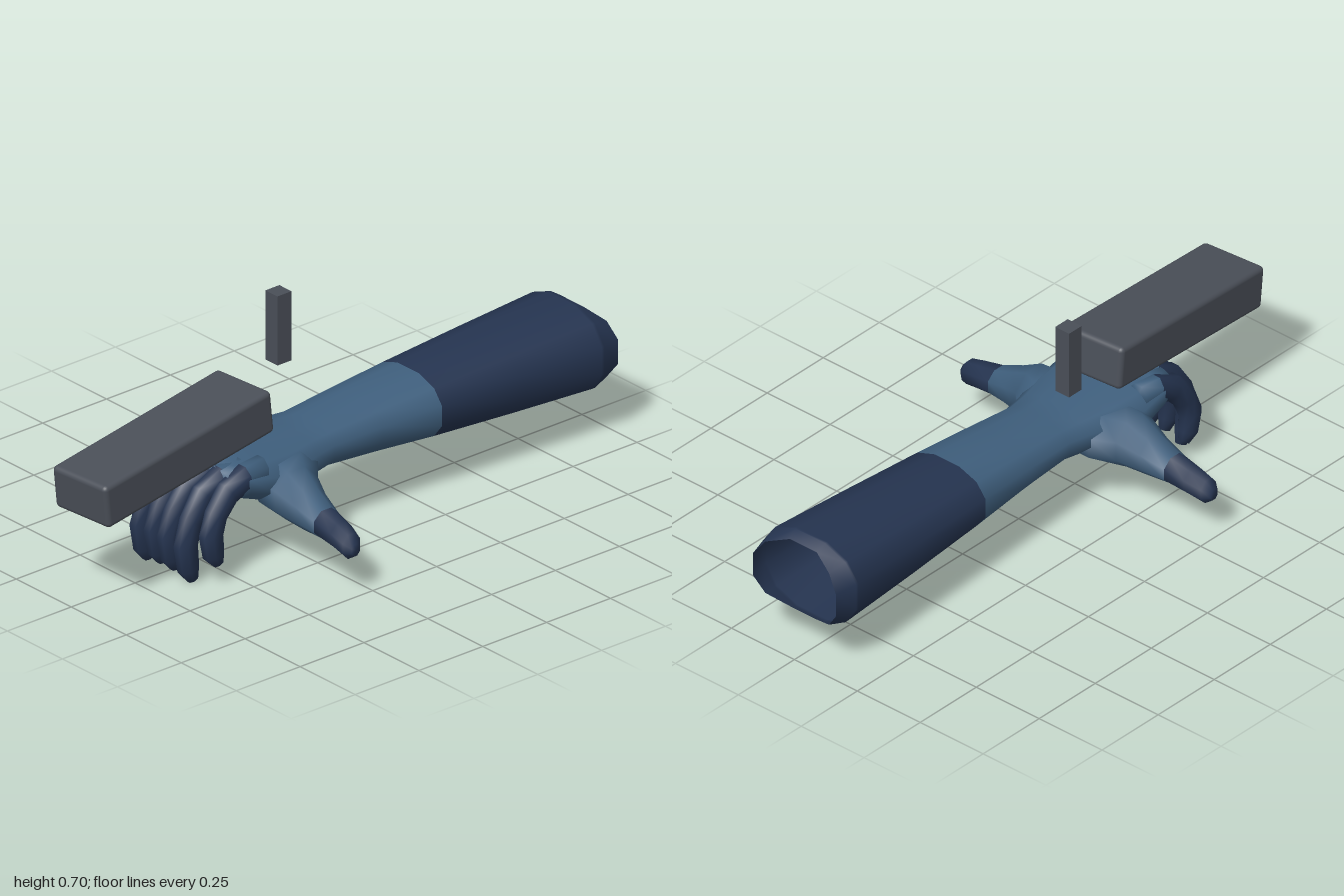
import * as THREE from 'three';
import { RoundedBoxGeometry } from 'three/addons/geometries/RoundedBoxGeometry.js';

const material = (color) => new THREE.MeshStandardMaterial({ color, side: THREE.DoubleSide });
const V = (x, y, z) => new THREE.Vector3(x, y, z);

// Skin over rings { c, u, v }; u x v points along the direction of travel.
function loft(rings, sides, capStart, capEnd, squareness = 1) {
  const pos = [], idx = [];
  const bend = (t) => Math.sign(t) * Math.abs(t) ** squareness;
  for (const { c, u, v } of rings) {
    for (let i = 0; i < sides; i++) {
      const a = ((i + 0.5) / sides) * Math.PI * 2;
      const p = c.clone().addScaledVector(u, bend(Math.cos(a))).addScaledVector(v, bend(Math.sin(a)));
      pos.push(p.x, p.y, p.z);
    }
  }
  for (let r = 0; r < rings.length - 1; r++) {
    for (let i = 0; i < sides; i++) {
      const a = r * sides + i, b = r * sides + ((i + 1) % sides);
      idx.push(a, b, b + sides, a, b + sides, a + sides);
    }
  }
  const cap = (r, flip) => {
    const centre = pos.length / 3;
    pos.push(...rings[r].c.toArray());
    for (let i = 0; i < sides; i++) {
      const a = r * sides + i, b = r * sides + ((i + 1) % sides);
      idx.push(...(flip ? [centre, b, a] : [centre, a, b]));
    }
  };
  if (capStart) cap(0, true);
  if (capEnd) cap(rings.length - 1, false);
  const g = new THREE.BufferGeometry();
  g.setAttribute('position', new THREE.Float32BufferAttribute(pos, 3));
  g.setIndex(idx);
  g.computeVertexNormals();
  return g;
}

export function createModel() {
  const model = new THREE.Group();
  const navy = material(0x253450), blue = material(0x3f5f7d), grey = material(0x4a4f58);
  const add = (name, geometry, mat, parent = model) => {
    const mesh = new THREE.Mesh(geometry, mat);
    mesh.name = name;
    parent.add(mesh);
    return mesh;
  };

  // Forearm and palm sections: z, half width, bottom, top
  const armRing = ([z, w, y0, y1]) => ({
    c: V(0, (y0 + y1) / 2, z), u: V(w * 1.03, 0, 0), v: V(0, (y1 - y0) * 0.515, 0),
  });
  const sleeve = loft([
    [-1, 0.165, 0.15, 0.39], [-0.93, 0.183, 0.132, 0.41], [-0.92, 0.183, 0.132, 0.41],
    [-0.62, 0.169, 0.148, 0.392], [-0.32, 0.153, 0.167, 0.372],
  ].map(armRing), 12, false, false, 0.85);
  // Notch the open end towards the middle
  const sp = sleeve.attributes.position;
  for (let i = 0; i < 12; i++) sp.setZ(i, -1 + 0.06 * Math.max(0, 1 - Math.abs(sp.getX(i)) / 0.16));
  sleeve.computeVertexNormals();
  add('sleeve', sleeve, navy);
  add('wristAndPalm', loft([
    [-0.32, 0.153, 0.167, 0.372], [-0.1, 0.14, 0.187, 0.353], [0.08, 0.13, 0.2, 0.335],
    [0.16, 0.145, 0.192, 0.336], [0.25, 0.175, 0.17, 0.342], [0.36, 0.185, 0.185, 0.348],
    [0.45, 0.18, 0.222, 0.356], [0.51, 0.165, 0.255, 0.345],
  ].map(armRing), 12, false, true, 0.85), blue);

  // Thumbs: x, y, z, vertical radius, depth radius; the last three rings are the dark tip
  const thumb = [
    [0.06, 0.255, 0.24, 0.07, 0.12], [0.14, 0.238, 0.27, 0.085, 0.125], [0.2, 0.226, 0.292, 0.084, 0.09],
    [0.27, 0.205, 0.298, 0.067, 0.067], [0.35, 0.188, 0.303, 0.048, 0.052],
    [0.42, 0.175, 0.306, 0.044, 0.045], [0.475, 0.16, 0.312, 0.042, 0.036], [0.497, 0.155, 0.314, 0.02, 0.017],
  ];
  for (const s of [1, -1]) {
    const side = new THREE.Group();
    side.name = s > 0 ? 'leftDigits' : 'rightDigits';
    model.add(side);
    const rings = thumb.map(([x, y, z, ry, rz]) => {
      const up = V(0, ry, 0), out = V(0, 0, rz);
      return { c: V(s * x, y, z), u: s > 0 ? up : out, v: s > 0 ? out : up };
    });
    add('thumbBase', loft(rings.slice(0, 5), 8, false, false), blue, side);
    add('thumbTip', loft(rings.slice(4), 8, false, true), navy, side);

    // Curled fingers: base x, tip x, length factor, depth shift
    [[0.03, 0.03, 0.95, 0], [0.088, 0.1, 1, -0.005], [0.138, 0.157, 0.82, -0.055]].forEach(([xb, xt, k, dz], f) => {
      // y, z, radius from knuckle to fingertip
      const path = [
        [0.305, 0.43, 0.046], [0.302, 0.5, 0.045], [0.27, 0.57, 0.044], [0.2, 0.62, 0.04],
        [0.125, 0.643, 0.04], [0.05, 0.633, 0.036], [0.01, 0.615, 0.02],
      ];
      const pts = path.map(([y, z], i) => V(s * THREE.MathUtils.lerp(xb, xt, Math.min(1, i / 4)), 0.33 - (0.33 - y) * k, z + dz));
      const fr = pts.map((c, i) => {
        const t = pts[Math.min(i + 1, 6)].clone().sub(pts[Math.max(i - 1, 0)]).setX(0).normalize();
        const r = path[i][2];
        return { c, u: V(r * 0.85, 0, 0), v: t.cross(V(1, 0, 0)).multiplyScalar(r) };
      });
      const name = ['innerFinger', 'middleFinger', 'outerFinger'][f];
      add(name + 'Base', loft(fr.slice(0, 2), 8, true, false), blue, side);
      add(name, loft(fr.slice(1), 8, false, true), navy, side);
    });
  }

  // Long rounded block resting over the knuckles
  const block = add('roundedBlock', new RoundedBoxGeometry(0.225, 0.142, 0.71, 3, 0.016), grey);
  block.position.set(-0.0025, 0.408, 0.637);
  block.rotation.set(0.113, 0.083, 0, 'YXZ');

  // Small upright post floating above the wrist
  add('uprightPost', new THREE.BoxGeometry(0.055, 0.228, 0.055), grey).position.set(-0.126, 0.593, 0.08);
  return model;
}
